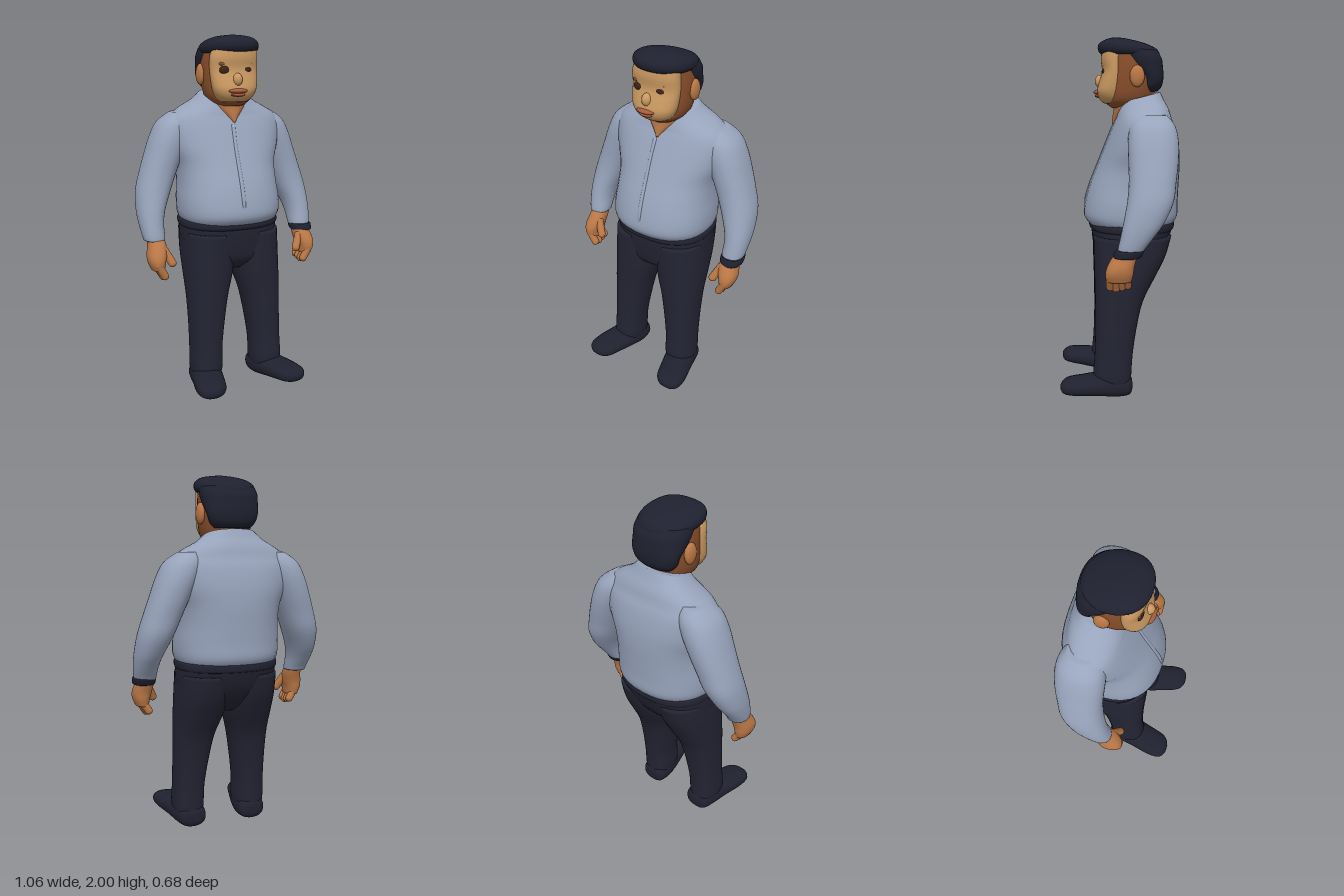
import * as THREE from 'three';

const flat = (name, color) => {
  const m = new THREE.MeshStandardMaterial({ color });
  m.name = name;
  return m;
};

// Smooth closed body from level oval sections, listed upwards:
// [y, centreX, zFront, zBack, halfWidth]. A lower power gives a squarer oval.
function loft(rows, power = 0.9, rule = null, sides = 36, sub = 4) {
  const pos = [], idx = [];
  const spline = (a, b, c, d, t) => 0.5 * (2 * b + (c - a) * t
    + (2 * a - 5 * b + 4 * c - d) * t * t + (3 * b - a - 3 * c + d) * t * t * t);
  const sections = [];
  for (let i = 0; i < rows.length - 1; i++) {
    const a = rows[Math.max(i - 1, 0)], b = rows[i], c = rows[i + 1];
    const d = rows[Math.min(i + 2, rows.length - 1)];
    for (let k = 0; k < sub; k++) sections.push(b.map((_, q) => spline(a[q], b[q], c[q], d[q], k / sub)));
  }
  sections.push(rows[rows.length - 1]);
  const bend = (v) => Math.sign(v) * Math.pow(Math.abs(v), power);
  const put = (x, y, z) => pos.push(...(rule ? rule(x, y, z) : [x, y, z]));
  for (const [y, cx, zf, zb, hx] of sections) {
    for (let j = 0; j < sides; j++) {
      const t = (j / sides) * Math.PI * 2;
      put(cx + hx * bend(Math.sin(t)), y, (zf + zb) / 2 + ((zf - zb) / 2) * bend(Math.cos(t)));
    }
  }
  const last = sections.length - 1;
  for (let i = 0; i < last; i++) {
    for (let j = 0; j < sides; j++) {
      const a = i * sides + j, b = i * sides + ((j + 1) % sides);
      idx.push(a, b, b + sides, a, b + sides, a + sides);
    }
  }
  for (const i of [0, last]) {
    const [y, cx, zf, zb] = sections[i];
    const centre = pos.length / 3;
    put(cx, y, (zf + zb) / 2);
    for (let j = 0; j < sides; j++) {
      const a = i * sides + j, b = i * sides + ((j + 1) % sides);
      if (i) idx.push(centre, a, b); else idx.push(centre, b, a);
    }
  }
  const g = new THREE.BufferGeometry();
  g.setAttribute('position', new THREE.Float32BufferAttribute(pos, 3));
  g.setIndex(idx);
  g.computeVertexNormals();
  return g;
}

// Round-ended rod between two points
function rod(a, b, r) {
  const p = new THREE.Vector3(...a), q = new THREE.Vector3(...b);
  const dir = q.clone().sub(p);
  const g = new THREE.CapsuleGeometry(r, dir.length(), 6, 14);
  g.applyQuaternion(new THREE.Quaternion().setFromUnitVectors(new THREE.Vector3(0, 1, 0), dir.normalize()));
  const m = p.add(q).multiplyScalar(0.5);
  return g.translate(m.x, m.y, m.z);
}

const blob = (x, y, z, rx, ry, rz) => new THREE.SphereGeometry(1, 24, 16).scale(rx, ry, rz).translate(x, y, z);

export function createModel() {
  const model = new THREE.Group();
  model.name = 'standingMan';
  const shirt = flat('shirtBlue', 0x98a4bc);
  const trouser = flat('trouserNavy', 0x232433);
  const shoe = flat('shoeNavy', 0x20212f);
  const hair = flat('hairBlack', 0x1f2130);
  const face = flat('faceTan', 0xcb9a62);
  const skin = flat('skinBrown', 0xbb7846);
  const shade = flat('jawBrown', 0x8a4f2c);
  const dark = flat('eyeBrown', 0x3a2418);
  const lip = flat('lipRed', 0xa55a3c);
  const add = (name, geometry, material) => {
    const m = new THREE.Mesh(geometry, material);
    m.name = name;
    model.add(m);
  };

  // Shirt body; the neckline rises towards the back
  const neckline = (x, y, z) => [x, y - Math.min(Math.max((y - 1.55) / 0.13, 0), 1) * 0.25 * (z + 0.12), z];
  add('shirtBody', loft([
    [0.97, 0, 0.165, -0.3, 0.27], [1.02, 0, 0.2, -0.33, 0.29], [1.1, 0, 0.193, -0.332, 0.293],
    [1.2, 0, 0.165, -0.336, 0.285], [1.3, 0, 0.125, -0.34, 0.29], [1.4, 0, 0.085, -0.335, 0.325],
    [1.5, 0, 0.045, -0.315, 0.34], [1.56, 0, 0.02, -0.29, 0.32], [1.6, 0, 0.01, -0.275, 0.265],
    [1.64, 0, 0, -0.25, 0.19], [1.68, 0, -0.01, -0.23, 0.14],
  ], 0.86, neckline), shirt);
  add('placket', loft([
    [1.0, -0.015, 0.19, 0.1, 0.012], [1.1, -0.015, 0.198, 0.1, 0.014], [1.2, -0.015, 0.17, 0.1, 0.014],
    [1.3, -0.015, 0.13, 0.05, 0.014], [1.4, -0.015, 0.09, 0, 0.014], [1.52, -0.01, 0.042, 0, 0.012],
  ], 0.6, null, 16), shirt);

  // Neck, with the bare throat in the open collar
  add('neck', loft([
    [1.53, 0, 0.04, -0.1, 0.012], [1.57, 0, 0.036, -0.12, 0.05], [1.61, 0, 0.03, -0.16, 0.09],
    [1.66, 0, 0.03, -0.2, 0.115], [1.74, 0, 0.03, -0.2, 0.12],
  ]), skin);

  // Head
  add('skull', loft([
    [1.62, 0, 0.04, -0.12, 0.07], [1.65, 0, 0.075, -0.18, 0.115], [1.7, 0, 0.085, -0.2, 0.138],
    [1.78, 0, 0.08, -0.21, 0.148], [1.86, 0, 0.075, -0.21, 0.15], [1.94, 0, 0.07, -0.18, 0.14],
  ]), shade);
  add('face', loft([
    [1.645, -0.005, 0.085, -0.04, 0.075], [1.67, -0.005, 0.11, -0.04, 0.105], [1.71, -0.005, 0.122, -0.04, 0.125],
    [1.76, -0.005, 0.11, -0.04, 0.134], [1.82, -0.005, 0.094, -0.04, 0.138], [1.88, -0.005, 0.1, -0.04, 0.138],
    [1.93, 0, 0.095, -0.04, 0.13],
  ]), face);
  add('nose', blob(-0.015, 1.765, 0.105, 0.026, 0.035, 0.028), face);
  add('upperLip', blob(-0.015, 1.705, 0.112, 0.055, 0.014, 0.03), lip);
  add('lowerLip', blob(-0.015, 1.685, 0.108, 0.042, 0.011, 0.026), lip);
  for (const s of [-1, 1]) {
    const ex = -0.015 + s * 0.062;
    add('eye', blob(ex, 1.815, 0.077, 0.033, 0.025, 0.017), dark);
    add('eyebrow', rod([ex - 0.026, 1.848, 0.078], [ex + 0.026, 1.848, 0.078], 0.009), shade);
    add('ear', blob(s * 0.152, 1.79, -0.09, 0.023, 0.058, 0.04), skin);
  }

  // Hair: overhanging crown and the part behind the ears
  add('hairCrown', loft([
    [1.905, 0, 0.085, -0.225, 0.148], [1.92, 0, 0.108, -0.222, 0.16], [1.945, 0, 0.117, -0.2, 0.16],
    [1.97, 0, 0.108, -0.14, 0.142], [1.99, 0, 0.075, -0.06, 0.1], [2.0, 0, 0.04, -0.01, 0.03],
  ]), hair);
  add('hairBack', loft([
    [1.71, 0, -0.12, -0.215, 0.1], [1.74, 0, -0.11, -0.238, 0.128], [1.79, 0, -0.1, -0.246, 0.145],
    [1.85, 0, -0.03, -0.242, 0.156], [1.89, 0, 0.0, -0.235, 0.16], [1.93, 0, 0.03, -0.21, 0.155],
  ]), hair);

  // Trouser seat and waistband
  add('trouserSeat', loft([
    [0.7, 0, 0.06, -0.13, 0.15], [0.76, 0, 0.125, -0.2, 0.24], [0.85, 0, 0.148, -0.265, 0.277],
    [0.94, 0, 0.158, -0.3, 0.282], [0.99, 0, 0.155, -0.31, 0.276],
  ], 0.85), trouser);
  add('waistband', loft([
    [0.945, 0, 0.158, -0.304, 0.279], [0.958, 0, 0.17, -0.312, 0.287], [0.985, 0, 0.17, -0.314, 0.287],
    [0.995, 0, 0.155, -0.308, 0.275],
  ], 0.85), trouser);

  for (const s of [-1, 1]) {
    const side = s > 0 ? 'left' : 'right';
    const on = (rows) => rows.map(([y, x, ...rest]) => [y, x * s, ...rest]);
    const at = (x, y, z) => [x * s, y, z];

    // Leg and shoe
    add(side + 'Leg', loft(on([
      [0.07, 0.19, 0.13, -0.055, 0.08], [0.13, 0.19, 0.155, -0.06, 0.09], [0.25, 0.187, 0.147, -0.068, 0.09],
      [0.4, 0.177, 0.142, -0.09, 0.1], [0.55, 0.165, 0.142, -0.125, 0.115], [0.68, 0.148, 0.145, -0.19, 0.135],
      [0.8, 0.14, 0.148, -0.25, 0.142], [0.92, 0.135, 0.15, -0.285, 0.142],
    ]), 0.85), trouser);
    // sections run heel to toe, then the loft is laid forward
    add(side + 'Shoe', loft(on([
      [-0.065, 0.185, -0.04, -0.09, 0.035], [-0.045, 0.185, -0.01, -0.125, 0.075],
      [0.03, 0.19, -0.005, -0.14, 0.09], [0.12, 0.208, -0.02, -0.14, 0.092],
      [0.22, 0.235, -0.035, -0.135, 0.09], [0.29, 0.248, -0.045, -0.13, 0.08],
      [0.325, 0.252, -0.055, -0.115, 0.055], [0.34, 0.253, -0.075, -0.095, 0.02],
    ]), 0.85).rotateX(Math.PI / 2), shoe);

    // Sleeve
    add(side + 'Sleeve', loft(on([
      [0.895, 0.459, 0.03, -0.1, 0.058], [0.92, 0.461, 0.028, -0.115, 0.062], [0.98, 0.463, 0.015, -0.16, 0.067],
      [1.05, 0.455, 0, -0.21, 0.077], [1.15, 0.428, -0.02, -0.258, 0.094], [1.25, 0.393, -0.03, -0.275, 0.1],
      [1.35, 0.355, -0.03, -0.29, 0.104], [1.45, 0.315, -0.03, -0.295, 0.108], [1.53, 0.28, -0.045, -0.28, 0.1],
      [1.585, 0.245, -0.09, -0.24, 0.06],
    ])), shirt);

    // Hand with curled fingers and thumb
    add(side + 'Hand', loft(on([
      [0.74, 0.463, 0.085, -0.04, 0.035], [0.78, 0.468, 0.094, -0.05, 0.046], [0.82, 0.464, 0.085, -0.055, 0.053],
      [0.87, 0.455, 0.055, -0.07, 0.05], [0.91, 0.457, 0.02, -0.085, 0.046],
    ])), skin);
    for (let f = 0; f < 4; f++) {
      const z = 0.072 - f * 0.03, tip = 0.7 + Math.abs(f - 1) * 0.007;
      add(side + 'Finger', rod(at(0.475, 0.775, z), at(0.437, tip, z - 0.004), 0.022), skin);
    }
    add(side + 'Thumb', rod(at(0.425, 0.845, 0.03), at(0.39, 0.775, 0.06), 0.023), skin);
  }

  // Wrist watch on the left arm
  add('watchBand', loft([
    [0.868, 0.463, 0.05, -0.085, 0.056], [0.875, 0.463, 0.053, -0.092, 0.062],
    [0.9, 0.463, 0.045, -0.105, 0.064], [0.908, 0.463, 0.038, -0.105, 0.059],
  ]), hair);

  return model;
}
